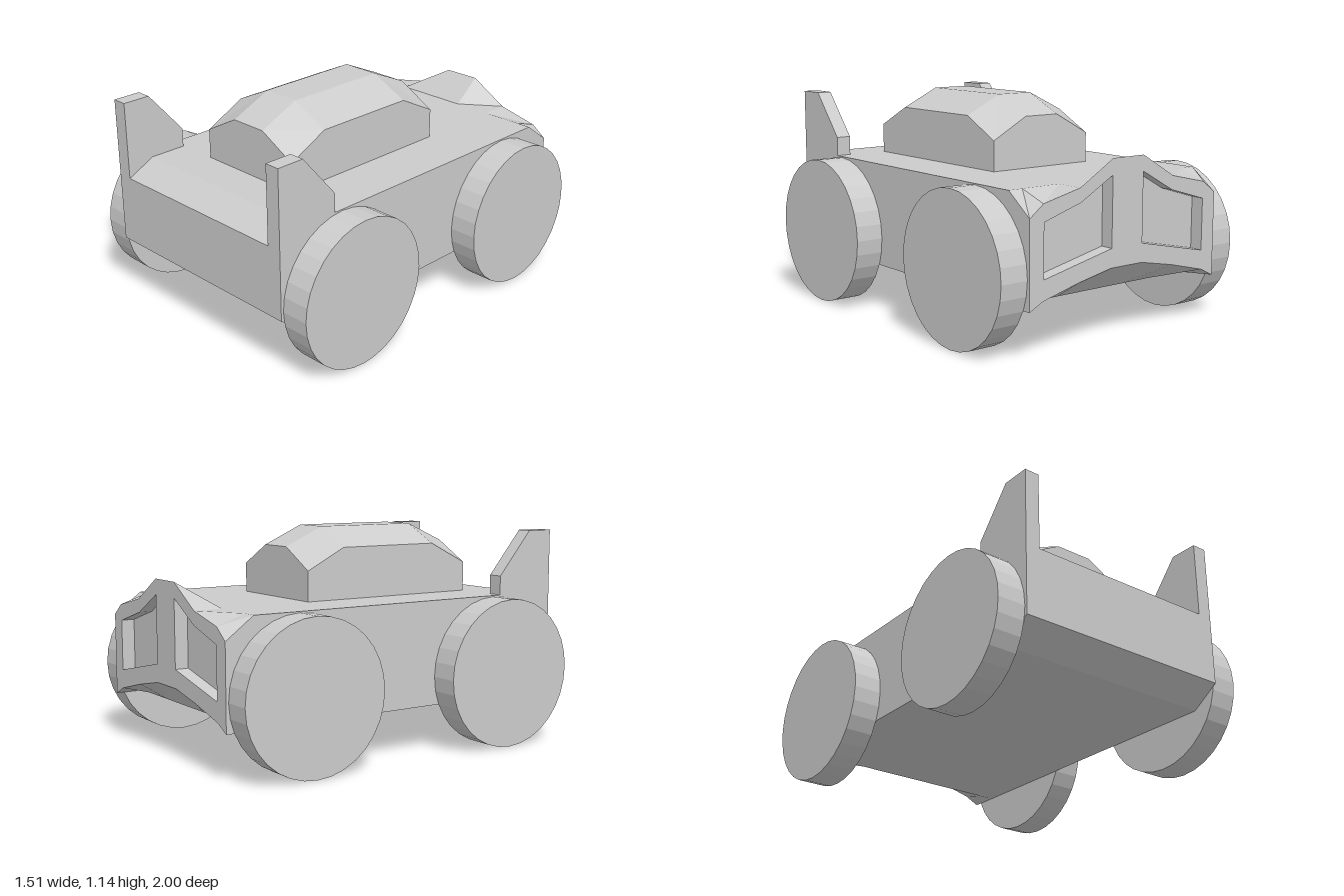
import * as THREE from 'three';

const material = new THREE.MeshStandardMaterial({ color: 0xcccccc, flatShading: true });

function named(geometry, name) {
  const mesh = new THREE.Mesh(geometry, material);
  mesh.name = name;
  return mesh;
}

// Flat-faced geometry from corner loops of four points each
function quadGeometry(quads) {
  const pos = [];
  for (const [a, b, c, d] of quads) pos.push(...a, ...b, ...c, ...a, ...c, ...d);
  const g = new THREE.BufferGeometry();
  g.setAttribute('position', new THREE.Float32BufferAttribute(pos, 3));
  g.computeVertexNormals();
  return g;
}

// Hull through sections ordered from back to front; each has top and bottom heights per x column
function loft(xs, sections, capBack) {
  const quads = [];
  const n = xs.length - 1;
  const top = (s, i) => [xs[i], s.top[i], s.z];
  const bot = (s, i) => [xs[i], s.bottom[i], s.z];
  for (let k = 0; k < sections.length - 1; k++) {
    const b = sections[k], f = sections[k + 1];
    for (let i = 0; i < n; i++) {
      quads.push([top(f, i), top(f, i + 1), top(b, i + 1), top(b, i)]);
      quads.push([bot(b, i), bot(b, i + 1), bot(f, i + 1), bot(f, i)]);
    }
    quads.push([bot(f, n), bot(b, n), top(b, n), top(f, n)]);
    quads.push([bot(b, 0), bot(f, 0), top(f, 0), top(b, 0)]);
  }
  const front = sections[sections.length - 1], back = sections[0];
  for (let i = 0; i < n; i++) {
    quads.push([bot(front, i), bot(front, i + 1), top(front, i + 1), top(front, i)]);
    if (capBack) quads.push([bot(back, i + 1), bot(back, i), top(back, i), top(back, i + 1)]);
  }
  return quadGeometry(quads);
}

const mirrored = (half) => [...half, ...half.slice().reverse()];

// Rear panel with two recesses, modelled facing +z and then turned around
function createRear(xs, top, bottom) {
  const rear = new THREE.Group();
  rear.name = 'rearPanel';
  const depth = 0.07;
  const outline = [
    ...xs.map((x, i) => new THREE.Vector2(x, bottom[i])),
    ...xs.map((x, i) => new THREE.Vector2(x, top[i])).reverse(),
  ];
  const face = new THREE.Shape(outline);
  const recess = [[0.1, 0.47], [0.52, 0.38], [0.52, 0.645], [0.3, 0.71], [0.1, 0.82]];
  for (const side of [1, -1]) {
    const pts = recess.map(([x, y]) => new THREE.Vector2(side * x, y));
    if (side < 0) pts.reverse();
    face.holes.push(new THREE.Path(pts));
    const walls = pts.map((p, i) => {
      const q = pts[(i + 1) % pts.length];
      return [[p.x, p.y, 0], [q.x, q.y, 0], [q.x, q.y, -depth], [p.x, p.y, -depth]];
    });
    rear.add(named(quadGeometry(walls), 'recessWalls'));
    const floor = named(new THREE.ShapeGeometry(new THREE.Shape(pts)), 'recessFloor');
    floor.position.z = -depth;
    rear.add(floor);
  }
  rear.add(named(new THREE.ShapeGeometry(face), 'rearFace'));
  rear.rotation.y = Math.PI;
  rear.position.z = -1;
  return rear;
}

export function createModel() {
  const model = new THREE.Group();
  model.name = 'car';

  // Body: flat deck, sloped nose, tail flaring into an arched rear edge
  const xs = [-0.605, -0.525, -0.305, -0.1, 0.1, 0.305, 0.525, 0.605];
  const flat = (v) => xs.map(() => v);
  const rearTop = mirrored([0.67, 0.73, 0.78, 0.9]);
  const rearBottom = mirrored([0.24, 0.28, 0.335, 0.375]);
  model.add(named(loft(xs, [
    { z: -1, top: rearTop, bottom: rearBottom },
    { z: -0.85, top: flat(0.78), bottom: flat(0.24) },
    { z: 0.85, top: flat(0.78), bottom: flat(0.24) },
    { z: 1, top: flat(0.705), bottom: flat(0.34) },
  ], false), 'body'));
  model.add(createRear(xs, rearTop, rearBottom));

  // Cabin with a faceted roof
  const low = mirrored([0.935, 1.045]), high = mirrored([1.045, 1.143]);
  const base = mirrored([0.77, 0.77]);
  model.add(named(loft([-0.308, -0.103, 0.103, 0.308], [
    { z: -0.362, top: low, bottom: base },
    { z: -0.145, top: high, bottom: base },
    { z: 0.425, top: high, bottom: base },
    { z: 0.645, top: low, bottom: base },
  ], true), 'cabin'));

  // Upright fins on the front corners
  const profile = [[1, 0.705], [1, 1.113], [0.85, 1.113], [0.65, 0.88], [0.65, 0.78], [0.85, 0.78]];
  const finShape = new THREE.Shape(profile.map(([z, y]) => new THREE.Vector2(-z, y)));
  const finGeometry = new THREE.ExtrudeGeometry(finShape, { depth: 0.08, bevelEnabled: false });
  finGeometry.rotateY(Math.PI / 2);

  // Wheels
  const wheelGeometry = new THREE.CylinderGeometry(0.387, 0.387, 0.15, 32);
  wheelGeometry.rotateZ(Math.PI / 2);

  for (const side of [1, -1]) {
    const label = side > 0 ? 'left' : 'right';
    const fin = named(finGeometry, label + 'Fin');
    fin.position.x = side > 0 ? 0.525 : -0.605;
    model.add(fin);
    for (const end of [1, -1]) {
      const wheel = named(wheelGeometry, label + (end > 0 ? 'Front' : 'Rear') + 'Wheel');
      wheel.position.set(side * 0.681, 0.387, end * 0.6);
      model.add(wheel);
    }
  }
  return model;
}
